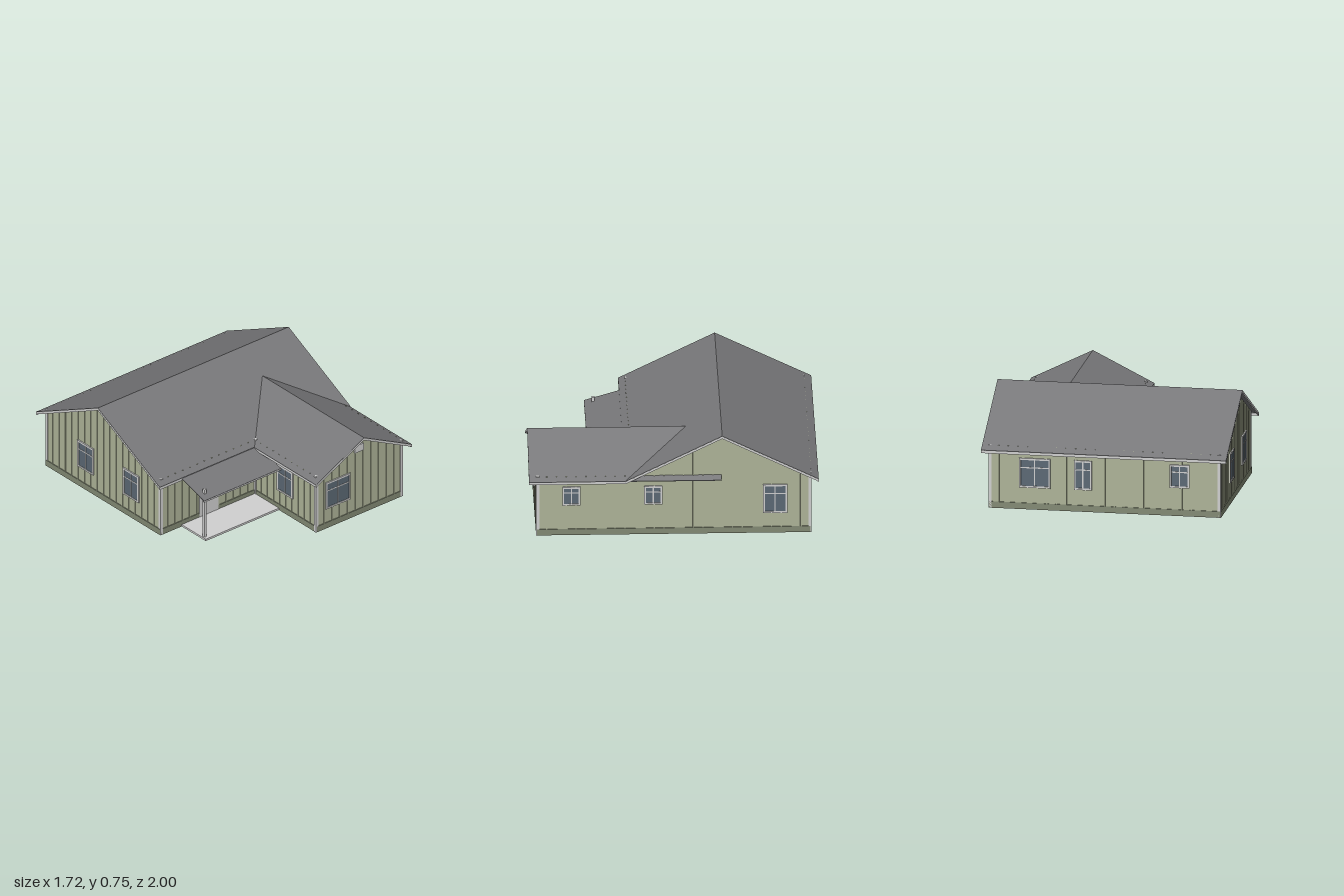
import * as THREE from 'three';

const mat = (name, color, extra = {}) => Object.assign(new THREE.MeshStandardMaterial({ color, ...extra }), { name });

export function createModel() {
  const M = {
    wall: mat('sage siding', 0xaeb498, { side: THREE.DoubleSide }),
    base: mat('dark sage base', 0x838a74),
    trim: mat('light trim', 0xd0d0d0),
    roof: mat('grey roofing', 0x777779),
    glass: mat('blue grey glass', 0x5b6874),
  };
  const house = new THREE.Group();
  house.name = 'house';

  const add = (parent, name, geometry, material) => {
    const mesh = new THREE.Mesh(geometry, material);
    mesh.name = name;
    parent.add(mesh);
    return mesh;
  };
  // Box given by its minimum and maximum corners
  const box = (parent, name, material, [x0, y0, z0], [x1, y1, z1]) => {
    const mesh = add(parent, name, new THREE.BoxGeometry(x1 - x0, y1 - y0, z1 - z0), material);
    mesh.position.set((x0 + x1) / 2, (y0 + y1) / 2, (z0 + z1) / 2);
    return mesh;
  };
  const polygon = (pts) => new THREE.Shape(pts.map(([x, y]) => new THREE.Vector2(x, y)));
  const extrude = (pts, depth) => new THREE.ExtrudeGeometry(polygon(pts), { depth, bevelEnabled: false });

  // Window: glass, frame and glazing bars, on a wall facing local +z
  const addWindow = (parent, [u0, u1, v0, v1]) => {
    const g = new THREE.Group();
    g.name = 'window';
    parent.add(g);
    const t = 0.013, out = 0.011, bar = 0.004;
    const um = (u0 + u1) / 2, vm = v0 + (v1 - v0) * 0.68;
    box(g, 'windowGlass', M.glass, [u0 + t, v0 + t, -0.002], [u1 - t, v1 - t, 0.007]);
    for (const [a, b] of [[u0, u0 + t], [u1 - t, u1]]) box(g, 'windowSide', M.trim, [a, v0, 0.001], [b, v1, out]);
    for (const [a, b] of [[v0, v0 + t], [v1 - t, v1]]) box(g, 'windowRail', M.trim, [u0 + t, a, 0.001], [u1 - t, b, out]);
    box(g, 'glazingBar', M.trim, [um - bar, v0 + t, 0.005], [um + bar, v1 - t, 0.009]);
    box(g, 'glazingBar', M.trim, [u0 + t, vm - bar, 0.005], [u1 - t, vm + bar, 0.009]);
  };

  // Wall sheet whose upper edge is a polyline, with battens, base band and windows
  const EAVE = 0.445;
  const addWall = (name, rotation, [x, z], top, windows) => {
    const g = new THREE.Group();
    g.name = name;
    g.rotation.y = rotation;
    g.position.set(x, 0, z);
    house.add(g);
    const u0 = top[0][0], u1 = top[top.length - 1][0];
    add(g, 'siding', new THREE.ShapeGeometry(polygon([[u1, 0], ...[...top].reverse(), [u0, 0]])), M.wall);
    box(g, 'baseBand', M.base, [u0, 0, -0.002], [u1, 0.045, 0.006]);
    const heightAt = (u) => {
      const i = Math.max(1, top.findIndex((p) => p[0] >= u));
      const [a, b] = [top[i - 1], top[i]];
      return a[1] + (b[1] - a[1]) * (u - a[0]) / (b[0] - a[0]);
    };
    const n = Math.round((u1 - u0) / 0.068);
    for (let i = 1; i < n; i++) {
      const u = u0 + (u1 - u0) * i / n, h = heightAt(u);
      box(g, 'batten', M.wall, [u - 0.004, 0.045, 0], [u + 0.004, h > EAVE + 0.001 ? h - 0.012 : h + 0.003, 0.005]);
    }
    windows.forEach((w) => addWindow(g, w));
    return g;
  };

  const flat = (a, b) => [[a, EAVE], [b, EAVE]];
  const LOW = 0.155, HIGH = 0.365;
  const H = Math.PI / 2;

  const porchWall = addWall('porchWall', 0, [0, 0.285], flat(-0.81, 0.04), [[-0.255, -0.035, LOW, HIGH]]);
  const wingFront = addWall('wingFrontWall', 0, [0, 0.945], [[0.04, 0.439], [0.425, 0.631], [0.81, 0.439]],
    [[0.12, 0.34, LOW, HIGH]]);
  addWall('wingLeftWall', -H, [0.04, 0], [[0.285, 0.442], [0.945, 0.442]], [[0.53, 0.7, LOW, HIGH]]);
  addWall('rightWall', H, [0.81, 0],
    [[-0.945, 0.442], [-0.285, 0.442], [0.33, 0.75], [0.945, 0.442]],
    [[-0.77, -0.645, 0.225, HIGH], [-0.205, -0.08, 0.225, HIGH], [0.615, 0.785, 0.15, HIGH]]);
  addWall('leftWall', -H, [-0.81, 0], [[-0.945, 0.442], [-0.33, 0.75], [0.285, 0.442]],
    [[-0.6, -0.43, LOW, HIGH], [-0.11, 0.06, LOW, HIGH]]);
  addWall('backWall', Math.PI, [0, -0.945], flat(-0.81, 0.81),
    [[-0.6, -0.38, LOW, HIGH], [-0.215, -0.09, LOW, HIGH], [0.455, 0.595, 0.2, HIGH]]);

  // Gable vent
  box(wingFront, 'gableVent', M.trim, [0.38, 0.505, 0], [0.46, 0.56, 0.009]);

  // Door with a small pane
  box(porchWall, 'door', M.trim, [-0.465, 0.015, -0.002], [-0.295, 0.335, 0.007]);
  box(porchWall, 'doorPane', M.glass, [-0.425, 0.245, 0.006], [-0.335, 0.32, 0.01]);

  // Corner boards
  const c = 0.011;
  for (const [x, z] of [[-0.803, -0.94], [0.803, -0.94], [-0.803, 0.28], [0.042, 0.289], [0.042, 0.94], [0.803, 0.94]])
    box(house, 'cornerBoard', M.trim, [x - c, 0, z - c], [x + c, 0.449, z + c]);

  // Gabled roof skin with bargeboards at the chosen ends
  const chevron = (half, ridge, upper, lower) => {
    const eave = ridge - half / 2;
    return [[-half, eave - upper], [-half, eave - lower], [0, ridge - lower], [half, eave - lower], [half, eave - upper], [0, ridge - upper]];
  };
  const addRoof = (name, half, ridge, length, ends) => {
    const g = new THREE.Group();
    g.name = name;
    add(g, 'roofSkin', extrude(chevron(half, ridge, 0, 0.004), length), M.roof);
    for (const end of ends) {
      const board = add(g, 'bargeboard', extrude(chevron(half, ridge, 0.003, 0.02), 0.011), M.trim);
      board.position.z = end ? length - 0.01 : -0.001;
    }
    house.add(g);
    return g;
  };
  const mainRoof = addRoof('mainRoof', 0.667, 0.755, 1.716, [0, 1]);
  mainRoof.rotation.y = H;
  mainRoof.position.set(-0.858, 0, -0.333);
  addRoof('wingRoof', 0.432, 0.636, 1.33, [1]).position.set(0.423, 0, -0.33);

  // Eave boards
  box(house, 'backFascia', M.trim, [-0.858, 0.4, -1], [0.858, 0.418, -0.99]);
  box(house, 'frontFascia', M.trim, [-0.858, 0.4, 0.324], [-0.01, 0.418, 0.334]);
  box(house, 'wingLeftFascia', M.trim, [-0.009, 0.4, 0.334], [0.001, 0.417, 1]);
  box(house, 'wingRightFascia', M.trim, [0.845, 0.4, 0.334], [0.855, 0.417, 1]);

  // Porch: floor, post and lean-to roof
  box(house, 'porchFloor', M.trim, [-0.625, 0, 0.285], [0.04, 0.015, 0.55]);
  box(house, 'porchPost', M.trim, [-0.615, 0.015, 0.505], [-0.595, 0.395, 0.525]);
  const porchRoof = add(house, 'porchRoof',
    extrude([[-0.575, 0.346], [-0.575, 0.341], [-0.325, 0.415], [-0.325, 0.42]], 0.7), M.roof);
  porchRoof.rotation.y = H;
  porchRoof.position.x = -0.66;
  box(house, 'porchFascia', M.trim, [-0.66, 0.333, 0.565], [0.04, 0.344, 0.576]);

  return house;
}
